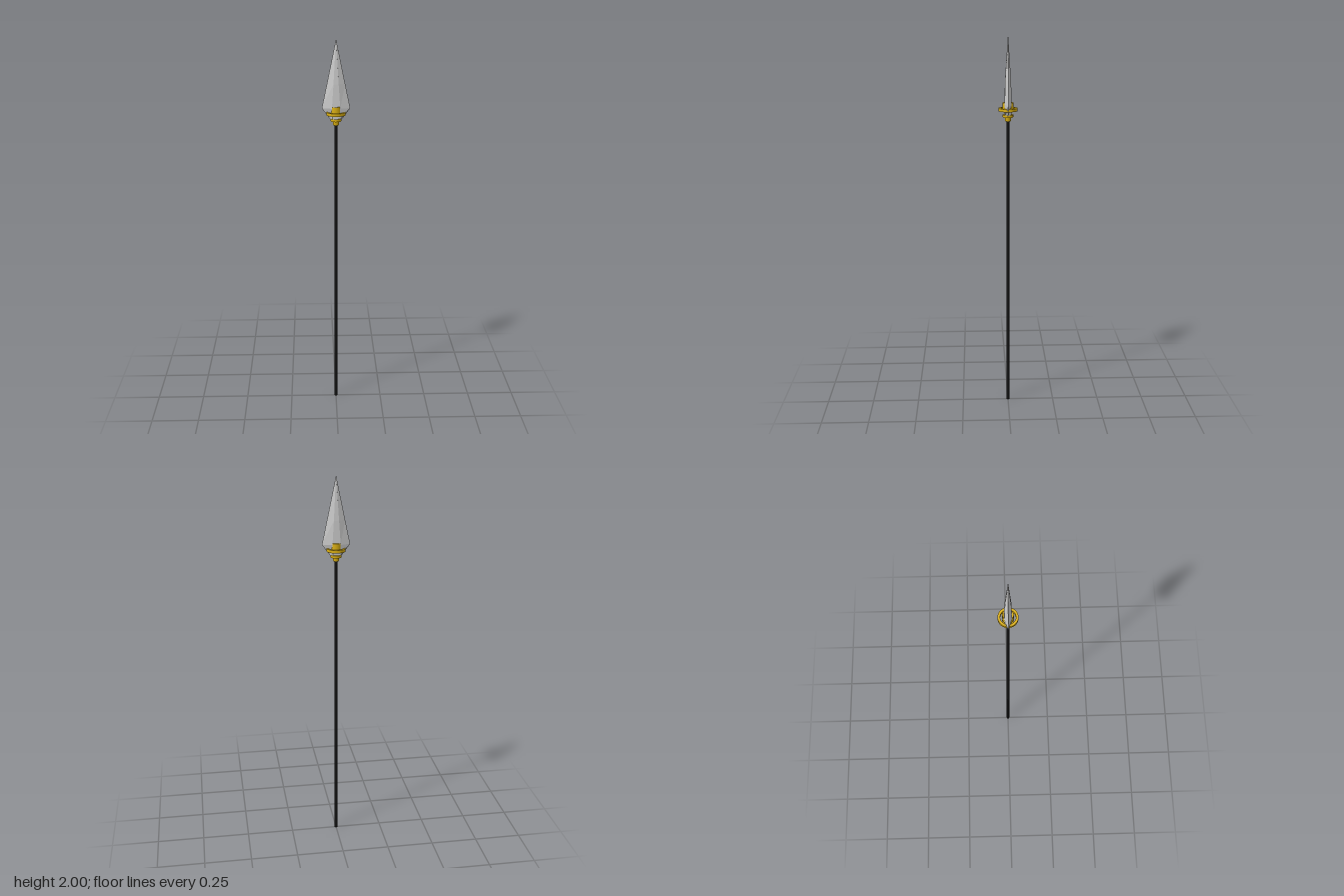
import * as THREE from 'three';

export function createModel() {
  const group = new THREE.Group();
  const gold = new THREE.MeshStandardMaterial({ color: 0xd9ae10 });
  const black = new THREE.MeshStandardMaterial({ color: 0x111111 });
  const steel = new THREE.MeshStandardMaterial({ color: 0xcccccc, flatShading: true });

  const add = (name, geometry, material, y = 0) => {
    const mesh = new THREE.Mesh(geometry, material);
    mesh.name = name;
    mesh.position.y = y;
    group.add(mesh);
  };
  const disc = (name, material, y0, y1, rTop, rBottom = rTop) =>
    add(name, new THREE.CylinderGeometry(rTop, rBottom, y1 - y0, 32), material, (y0 + y1) / 2);

  // Shaft and the stepped fitting at its head
  disc('shaft', black, 0, 1.6, 0.008);
  disc('lowerCollar', gold, 1.565, 1.587, 0.016, 0.014);
  disc('middleCollar', gold, 1.585, 1.598, 0.027);
  disc('upperCollar', gold, 1.617, 1.66, 0.027);

  // Flat guard ring, standing clear of the collar
  const ring = [[0.037, 1.617], [0.049, 1.617], [0.049, 1.632], [0.037, 1.632], [0.037, 1.617]]
    .map(([r, y]) => new THREE.Vector2(r, y));
  const ringGeometry = new THREE.LatheGeometry(ring, 48).toNonIndexed();
  ringGeometry.computeVertexNormals();
  add('guardRing', ringGeometry, gold);

  // Blade: six-sided sections [y, half width, half thickness, half flat]
  const sections = [
    [1.595, 0.03, 0.016, 0.017],
    [1.652, 0.072, 0.018, 0.021],
    [1.775, 0.046, 0.015, 0.013],
    [1.995, 0.0008, 0.0008, 0.0004],
    [2, 0, 0, 0],
  ];
  const points = [];
  for (const [y, w, t, f] of sections) {
    for (const [x, z] of [[w, 0], [f, t], [-f, t], [-w, 0], [-f, -t], [f, -t]]) points.push(x, y, z);
  }
  const faces = [];
  for (let i = 0; i < sections.length - 1; i++) {
    for (let j = 0; j < 6; j++) {
      const a = i * 6 + j, b = i * 6 + (j + 1) % 6;
      faces.push(a, a + 6, b, b, a + 6, b + 6);
    }
  }
  for (let j = 1; j < 5; j++) faces.push(0, j, j + 1); // underside
  const blade = new THREE.BufferGeometry();
  blade.setAttribute('position', new THREE.Float32BufferAttribute(points, 3));
  blade.setIndex(faces);
  blade.computeVertexNormals();
  add('blade', blade, steel);

  return group;
}
